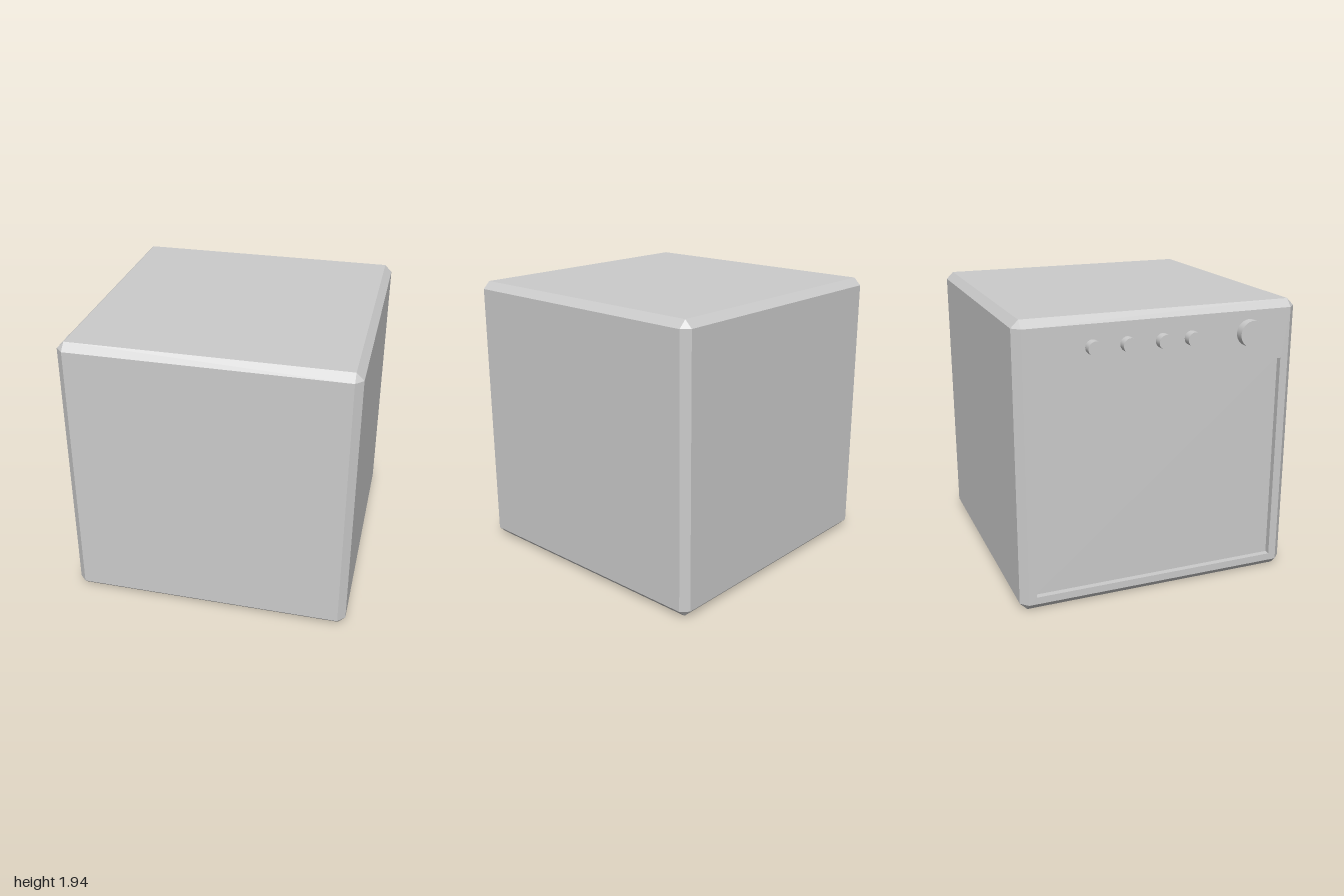
import * as THREE from 'three';
import { ConvexGeometry } from 'three/addons/geometries/ConvexGeometry.js';

const X0 = -0.94, X1 = 1, H = 1.94, Z = 0.97; // cabinet limits
const C = 0.05; // chamfer
const material = new THREE.MeshStandardMaterial({ color: 0xcccccc });

function add(parent, name, geometry, x = 0, y = 0, z = 0) {
  const mesh = new THREE.Mesh(geometry, material);
  mesh.name = name;
  mesh.position.set(x, y, z);
  parent.add(mesh);
  return mesh;
}

// Chamfered box without its control face, which is built separately
function cabinetGeometry() {
  const points = [];
  const cx = (X0 + X1) / 2, cy = H / 2;
  const hx = (X1 - X0) / 2, hy = H / 2;
  for (const sx of [-1, 1]) for (const sy of [-1, 1]) for (const sz of [-1, 1]) {
    for (let flat = 0; flat < 3; flat++) {
      const inset = [0, 1, 2].map(axis => (axis === flat ? 0 : C));
      points.push(new THREE.Vector3(
        cx + sx * (hx - inset[0]), cy + sy * (hy - inset[1]), sz * (Z - inset[2])));
    }
  }
  const hull = new ConvexGeometry(points);
  const p = hull.attributes.position, kept = [];
  for (let i = 0; i < p.count; i += 3) {
    if ([0, 1, 2].every(k => p.getX(i + k) < X0 + 1e-4)) continue;
    for (let k = 0; k < 3; k++) kept.push(p.getX(i + k), p.getY(i + k), p.getZ(i + k));
  }
  const geometry = new THREE.BufferGeometry();
  geometry.setAttribute('position', new THREE.Float32BufferAttribute(kept, 3));
  geometry.computeVertexNormals();
  return geometry;
}

function rectangle(path, x0, y0, x1, y1) {
  path.moveTo(x0, y0);
  path.lineTo(x1, y0);
  path.lineTo(x1, y1);
  path.lineTo(x0, y1);
  path.closePath();
  return path;
}

export function createModel() {
  const model = new THREE.Group();
  model.name = 'oven';
  add(model, 'cabinet', cabinetGeometry());

  // Control face: local x runs along world z, local z points outward (-x)
  const face = new THREE.Group();
  face.name = 'controlFace';
  face.rotation.y = -Math.PI / 2;
  face.position.x = X0;
  model.add(face);

  // Flat frame around the door opening
  const w = 0.865, bottom = 0.1, top = 1.55, depth = 0.04;
  const frame = rectangle(new THREE.Shape(), -Z + C, C, Z - C, H - C);
  frame.holes.push(rectangle(new THREE.Path(), -w, bottom, w, top));
  add(face, 'doorFrame', new THREE.ShapeGeometry(frame));

  // Sunken door panel and the four walls of its recess
  const mid = (bottom + top) / 2, h = top - bottom;
  add(face, 'doorPanel', new THREE.PlaneGeometry(2 * w, h), 0, mid, -depth);
  for (const s of [-1, 1]) {
    add(face, 'recessSide', new THREE.PlaneGeometry(depth, h).rotateY(-s * Math.PI / 2),
      s * w, mid, -depth / 2);
    add(face, 'recessEdge', new THREE.PlaneGeometry(2 * w, depth).rotateX(s * Math.PI / 2),
      0, mid + s * h / 2, -depth / 2);
  }

  // Row of small knobs and one large dial
  const knobs = [[-0.47, 0.048], [-0.24, 0.048], [0, 0.048], [0.2, 0.048], [0.615, 0.088]];
  for (const [x, r] of knobs) {
    add(face, r > 0.05 ? 'dial' : 'knob',
      new THREE.CylinderGeometry(r, r, 0.06, 32).rotateX(Math.PI / 2), x, 1.745, 0.03);
  }
  return model;
}
